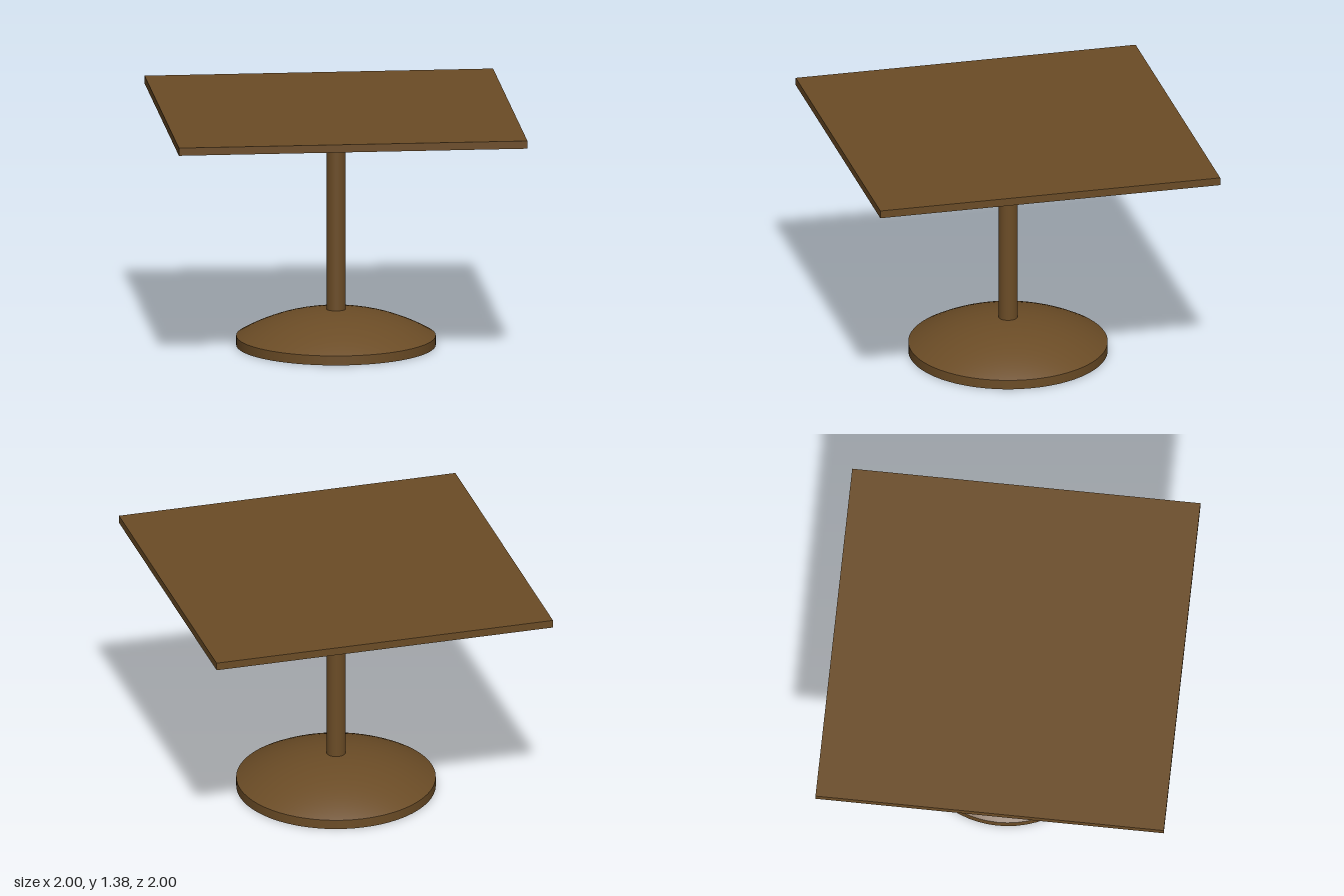
import * as THREE from 'three';

const WOOD = new THREE.MeshStandardMaterial({ color: 0x6b4c26 });

export function createModel() {
  const table = new THREE.Group();
  table.name = 'pedestalTable';

  const add = (name, geometry, x = 0, y = 0, z = 0, turn = 0) => {
    const mesh = new THREE.Mesh(geometry, WOOD);
    mesh.name = name;
    mesh.position.set(x, y, z);
    mesh.rotation.y = turn;
    table.add(mesh);
    return mesh;
  };

  // Heights of the top
  const top = 1.38, under = 1.335, skin = 0.015, rim = 0.02;

  // Thin square table top
  add('tableTop', new THREE.BoxGeometry(2, skin, 2), 0, top - skin / 2);

  // Rim hanging below the edge of the top: a square frame with a hole
  const square = (half, Type) => new Type([
    new THREE.Vector2(-half, -half), new THREE.Vector2(half, -half),
    new THREE.Vector2(half, half), new THREE.Vector2(-half, half),
  ]);
  const frame = square(1, THREE.Shape);
  frame.holes.push(square(1 - rim, THREE.Path));
  const depth = top - skin - under;
  const rimGeometry = new THREE.ExtrudeGeometry(frame, { depth, bevelEnabled: false });
  rimGeometry.rotateX(-Math.PI / 2);
  add('topRim', rimGeometry, 0, under);

  // Diagonal braces running corner to corner under the top
  const braceLength = 2 * Math.SQRT2 * (1 - rim) - 0.03;
  for (const side of [1, -1]) {
    add('diagonalBrace', new THREE.BoxGeometry(braceLength, depth, 0.03),
      0, under + depth / 2, 0, side * Math.PI / 4);
  }

  // Mounting plate, turned to line up with the braces
  add('mountingPlate', new THREE.BoxGeometry(0.342, 0.01, 0.342), 0, under - 0.005, 0, Math.PI / 4);

  // Column
  const foot = 0.19, columnTop = under - 0.01;
  add('column', new THREE.CylinderGeometry(0.055, 0.055, columnTop - foot, 32), 0, (columnTop + foot) / 2);

  // Base: low drum with a shallow spherical dome on it
  const radius = 0.57, drum = 0.055, rise = 0.155;
  add('baseDrum', new THREE.CylinderGeometry(radius, radius, drum, 64), 0, drum / 2);
  const sphere = (radius ** 2 + rise ** 2) / (2 * rise);
  const dome = new THREE.SphereGeometry(sphere, 64, 12, 0, Math.PI * 2, 0, Math.asin(radius / sphere));
  add('baseDome', dome, 0, drum + rise - sphere);

  return table;
}
